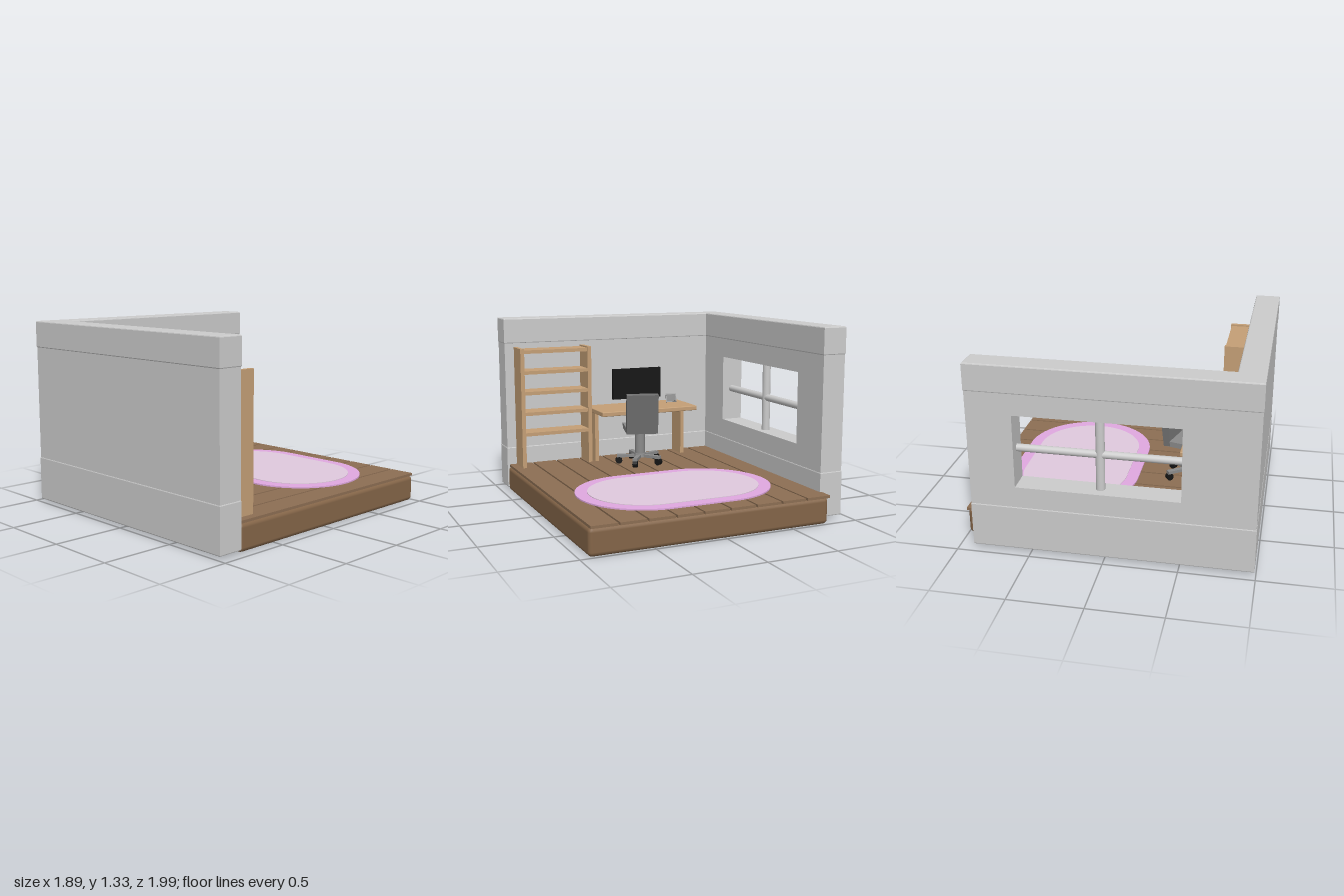
import * as THREE from 'three';
import { RoundedBoxGeometry } from 'three/addons/geometries/RoundedBoxGeometry.js';

const mat = (color) => new THREE.MeshStandardMaterial({ color });
const GREY = mat(0xcccccc), WOOD = mat(0xc49f76), FLOOR = mat(0x8c6e53), SLAB = mat(0x846548);
const BLACK = mat(0x151515), STEEL = mat(0x8a8a8a), FABRIC = mat(0x707070);

function add(parent, name, geometry, material, x = 0, y = 0, z = 0) {
  const mesh = new THREE.Mesh(geometry, material);
  mesh.name = name;
  mesh.position.set(x, y, z);
  parent.add(mesh);
  return mesh;
}

// Box given by its limits on each axis
function block(parent, name, material, [x0, x1], [y0, y1], [z0, z1], radius = 0) {
  const size = [x1 - x0, y1 - y0, z1 - z0];
  const geo = radius ? new RoundedBoxGeometry(...size, 2, radius) : new THREE.BoxGeometry(...size);
  return add(parent, name, geo, material, (x0 + x1) / 2, (y0 + y1) / 2, (z0 + z1) / 2);
}

function group(parent, name) {
  const g = new THREE.Group();
  g.name = name;
  parent.add(g);
  return g;
}

function polygon(points) {
  return new THREE.Shape(points.map(([x, y]) => new THREE.Vector2(x, y)));
}

// L-shaped wall course with softened edges
function wallCourse(parent, name, y0, y1) {
  const b = 0.008;
  const shape = polygon([
    [-0.945 + b, -0.99 + b], [0.945 - b, -0.99 + b], [0.945 - b, -0.81 - b],
    [-0.77 - b, -0.81 - b], [-0.77 - b, 0.9 - b], [-0.945 + b, 0.9 - b],
  ]);
  const geo = new THREE.ExtrudeGeometry(shape, {
    depth: y1 - y0 - 2 * b, bevelThickness: b, bevelSize: b, bevelSegments: 2,
  });
  geo.rotateX(-Math.PI / 2);
  add(parent, name, geo, GREY, 0, y0 + b, 0);
}

function buildWalls(root) {
  const walls = group(root, 'walls');
  wallCourse(walls, 'lowerWallCourse', 0.02, 0.335);
  wallCourse(walls, 'upperWallCourse', 1.135, 1.325);
  block(walls, 'frontWall', GREY, [-0.942, 0.942], [0.33, 1.14], [0.813, 0.987]);

  // Side wall with the window opening
  const side = polygon([[-0.897, 0.33], [0.82, 0.33], [0.82, 1.14], [-0.897, 1.14]]);
  side.holes.push(polygon([[-0.59, 0.48], [-0.59, 0.99], [0.505, 0.99], [0.505, 0.48]]));
  const geo = new THREE.ExtrudeGeometry(side, { depth: 0.169, bevelEnabled: false });
  geo.rotateY(-Math.PI / 2);
  add(walls, 'windowWall', geo, GREY, -0.773, 0, 0);

  // Crossed window bars
  add(walls, 'windowPost', new THREE.CylinderGeometry(0.03, 0.03, 0.53, 20), GREY, -0.855, 0.735, -0.035);
  add(walls, 'windowRail', new THREE.CylinderGeometry(0.026, 0.026, 1.11, 20), GREY, -0.855, 0.73, -0.04)
    .rotation.x = Math.PI / 2;
}

function buildFloor(root) {
  const floor = group(root, 'floor');
  block(floor, 'floorSlab', SLAB, [-0.78, 0.94], [0, 0.185], [-0.995, 0.815], 0.03);
  const pitch = 0.192;
  for (let i = 0; i < 9; i++) {
    const x = -0.785 + i * pitch;
    block(floor, 'floorPlank', FLOOR, [x, x + pitch - 0.014], [0.182, 0.2], [-1, 0.812]);
  }
}

// Stadium-shaped mat lying on the floor
function stadium(parent, name, material, halfStraight, radius, y, height) {
  const shape = new THREE.Shape();
  shape.absarc(halfStraight, 0, radius, -Math.PI / 2, Math.PI / 2);
  shape.absarc(-halfStraight, 0, radius, Math.PI / 2, Math.PI * 1.5);
  shape.closePath();
  const geo = new THREE.ExtrudeGeometry(shape, { depth: height, bevelEnabled: false, curveSegments: 32 });
  geo.rotateX(-Math.PI / 2);
  add(parent, name, geo, material, 0.09, y, -0.39);
}

function buildBookcase(root) {
  const bookcase = group(root, 'bookcase');
  const z = [0.633, 0.81];
  for (const x of [0.312, 0.842]) block(bookcase, 'bookcaseSide', WOOD, [x, x + 0.03], [0.2, 1.107], z);
  for (let i = 0; i < 5; i++) {
    const y = 0.455 + i * 0.157;
    block(bookcase, 'bookcaseShelf', WOOD, [0.335, 0.85], [y - 0.013, y + 0.013], [0.638, 0.805]);
  }
}

function buildDesk(root) {
  const desk = group(root, 'desk');
  block(desk, 'deskTop', WOOD, [-0.5, 0.3], [0.585, 0.62], [0.43, 0.81], 0.006);
  for (const x of [-0.485, 0.255]) block(desk, 'deskLeg', WOOD, [x, x + 0.03], [0.2, 0.59], [0.64, 0.8]);

  // Monitor on a small stand
  const monitor = group(desk, 'monitor');
  block(monitor, 'monitorScreen', BLACK, [-0.3, 0.11], [0.67, 0.91], [0.69, 0.718]);
  block(monitor, 'monitorNeck', BLACK, [-0.115, -0.075], [0.62, 0.75], [0.705, 0.725]);
  block(monitor, 'monitorFoot', BLACK, [-0.15, -0.04], [0.618, 0.628], [0.69, 0.73]);

  // Small leaning picture frame
  const frame = group(desk, 'pictureFrame');
  frame.position.set(-0.39, 0.655, 0.682);
  frame.rotation.set(0.4, -0.26, 0, 'YXZ');
  add(frame, 'frameBorder', new THREE.BoxGeometry(0.085, 0.07, 0.012), STEEL);
  add(frame, 'framePicture', new THREE.BoxGeometry(0.07, 0.055, 0.004), FABRIC, 0, 0, -0.006);
}

function buildChair(root) {
  const chair = group(root, 'officeChair');
  chair.position.set(-0.01, 0.2, 0.44);

  // Five-legged star base with castors
  for (let i = 0; i < 5; i++) {
    const leg = group(chair, 'chairLeg');
    leg.rotation.y = (i * Math.PI * 2) / 5;
    add(leg, 'legArm', new THREE.BoxGeometry(0.035, 0.022, 0.18), STEEL, 0, 0.062, 0.09);
    add(leg, 'castor', new THREE.CylinderGeometry(0.026, 0.026, 0.035, 14), BLACK, 0, 0.027, 0.165)
      .rotation.z = Math.PI / 2;
  }
  add(chair, 'chairHub', new THREE.CylinderGeometry(0.045, 0.05, 0.03, 20), STEEL, 0, 0.068, 0);
  add(chair, 'chairStem', new THREE.CylinderGeometry(0.038, 0.038, 0.2, 20), STEEL, 0, 0.17, 0);

  // Swivelled seat and reclined backrest
  const top = group(chair, 'chairTop');
  top.rotation.y = -0.28;
  add(top, 'chairSeat', new THREE.BoxGeometry(0.24, 0.04, 0.26), STEEL, 0, 0.28, -0.005);
  add(top, 'chairBackrest', new THREE.BoxGeometry(0.24, 0.305, 0.05), FABRIC, 0, 0.412, -0.15)
    .rotation.x = -0.13;
}

export function createModel() {
  const root = new THREE.Group();
  root.name = 'studyRoom';
  buildWalls(root);
  buildFloor(root);
  stadium(root, 'rugBorder', mat(0xe0a8e0), 0.23, 0.47, 0.2, 0.01);
  stadium(root, 'rugCentre', mat(0xe0cade), 0.23, 0.385, 0.205, 0.009);
  buildBookcase(root);
  buildDesk(root);
  buildChair(root);
  return root;
}
